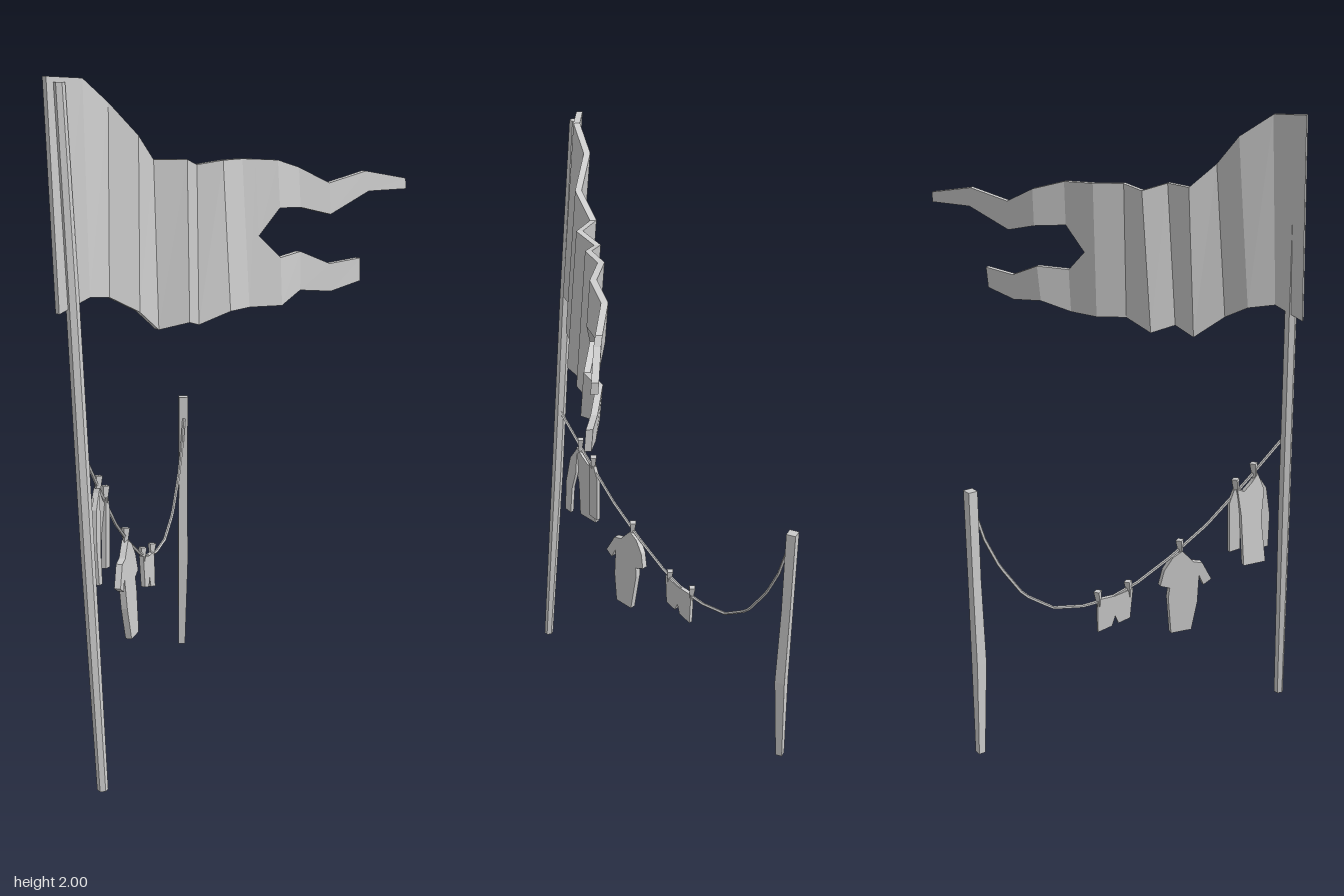
import * as THREE from 'three';

const material = new THREE.MeshStandardMaterial({ color: 0xcccccc, flatShading: true, side: THREE.DoubleSide });

function add(parent, name, geometry) {
  const mesh = new THREE.Mesh(geometry, material);
  mesh.name = name;
  parent.add(mesh);
  return mesh;
}

// Rough pole through a list of [x, y, z, radius] sections
function pole(sections, sides, turn) {
  const n = sections.length - 1;
  const g = new THREE.CylinderGeometry(1, 1, 1, sides, n);
  g.rotateY(turn);
  const p = g.attributes.position;
  for (let i = 0; i < p.count; i++) {
    const [x, y, z, r] = sections[Math.round((p.getY(i) + 0.5) * n)];
    p.setXYZ(i, x + p.getX(i) * r, y, z + p.getZ(i) * r);
  }
  return g;
}

// Thick strip of cloth; each column is [topX, topY, bottomX, bottomY, z].
// The cloth leans forward the further it hangs below refY (or its own top).
function cloth(columns, refY) {
  const half = 0.01, lean = 0.09, pos = [];
  const quad = (a, b, c, d) => pos.push(...a, ...b, ...c, ...a, ...c, ...d);
  const rings = columns.map(([tx, ty, bx, by, z]) => {
    const ref = refY ?? ty;
    const zt = z + lean * (ref - ty), zb = z + lean * (ref - by);
    return [[tx, ty, zt + half], [tx, ty, zt - half], [bx, by, zb - half], [bx, by, zb + half]];
  });
  for (let i = 0; i < rings.length - 1; i++) {
    for (let k = 0; k < 4; k++) {
      const m = (k + 1) % 4;
      quad(rings[i][k], rings[i + 1][k], rings[i + 1][m], rings[i][m]);
    }
  }
  quad(...rings[0]);
  quad(...rings[rings.length - 1].slice().reverse());
  const g = new THREE.BufferGeometry();
  g.setAttribute('position', new THREE.Float32BufferAttribute(pos, 3));
  g.computeVertexNormals();
  return g;
}

// The washing line runs diagonally: z = LINE_Z - SLOPE * x
const SLOPE = 0.8, LINE_Z = -0.17;
const STRETCH = Math.hypot(1, SLOPE);

// Flat garment piece in the plane of the line; tilt swings its hem out of the plane
function garment(points, tilt = 0, depth = 0.014) {
  const shape = new THREE.Shape(points.map(([x, y]) => new THREE.Vector2(x * STRETCH, y)));
  const g = new THREE.ExtrudeGeometry(shape, { depth, bevelEnabled: false });
  g.translate(0, 0, -depth / 2);
  const top = Math.max(...points.map(q => q[1]));
  const p = g.attributes.position;
  for (let i = 0; i < p.count; i++) p.setZ(i, p.getZ(i) + tilt * (top - p.getY(i)));
  g.computeVertexNormals();
  return g;
}

export function createModel() {
  const model = new THREE.Group();
  model.name = 'flagAndWashingLine';

  // Leaning flag pole
  add(model, 'flagPole', pole([
    [-0.588, 0, 0.37, 0.016], [-0.588, 0.7, 0.31, 0.02],
    [-0.588, 1.4, 0.255, 0.019], [-0.588, 1.985, 0.205, 0.017],
  ], 6, 0));

  // Torn, rippled flag
  const flag = new THREE.Group();
  flag.name = 'flag';
  model.add(flag);
  add(flag, 'flagBody', cloth([
    [-0.622, 2.0, -0.63, 1.37, 0.187],
    [-0.52, 1.995, -0.54, 1.41, 0.205],
    [-0.425, 1.93, -0.46, 1.4, 0.184],
    [-0.35, 1.84, -0.38, 1.355, 0.22],
    [-0.275, 1.77, -0.29, 1.29, 0.184],
    [-0.193, 1.77, -0.215, 1.31, 0.233],
    [-0.125, 1.75, -0.148, 1.29, 0.187],
    [-0.055, 1.762, -0.055, 1.325, 0.22],
    [0.037, 1.762, 0.037, 1.325, 0.193],
    [0.077, 1.76, 0.077, 1.325, 0.205],
  ]));
  add(flag, 'upperTail', cloth([
    [0.077, 1.76, 0.077, 1.535, 0.205],
    [0.145, 1.756, 0.145, 1.615, 0.226],
    [0.245, 1.73, 0.245, 1.61, 0.203],
    [0.345, 1.68, 0.345, 1.585, 0.226],
    [0.48, 1.712, 0.488, 1.65, 0.246],
    [0.63, 1.685, 0.63, 1.652, 0.265],
  ], 1.76));
  add(flag, 'lowerTail', cloth([
    [0.077, 1.535, 0.077, 1.325, 0.205],
    [0.14, 1.468, 0.137, 1.325, 0.225],
    [0.24, 1.477, 0.232, 1.36, 0.2],
    [0.337, 1.435, 0.337, 1.35, 0.222],
    [0.442, 1.447, 0.438, 1.377, 0.246],
  ], 1.76));

  // Short post at the far end of the line
  add(model, 'linePost', pole([
    [0.22, 0.01, -0.36, 0.016], [0.22, 0.33, -0.352, 0.024],
    [0.225, 0.62, -0.358, 0.021], [0.229, 0.915, -0.361, 0.022],
  ], 4, 0.2));

  // Everything on the line is laid out flat, then turned to the diagonal
  const line = new THREE.Group();
  line.name = 'washingLine';
  line.position.z = LINE_Z;
  line.rotation.y = Math.atan(SLOPE);
  model.add(line);

  // Sagging rope
  const ropePoints = [
    [-0.585, 0.975], [-0.48, 0.83], [-0.375, 0.695], [-0.28, 0.6], [-0.19, 0.525], [-0.12, 0.485],
    [-0.05, 0.47], [0.03, 0.48], [0.105, 0.54], [0.165, 0.65], [0.2, 0.745], [0.222, 0.84],
  ].map(([x, y]) => new THREE.Vector3(x * STRETCH, y, 0));
  const rope = new THREE.CurvePath();
  for (let i = 0; i < ropePoints.length - 1; i++) rope.add(new THREE.LineCurve3(ropePoints[i], ropePoints[i + 1]));
  add(line, 'rope', new THREE.TubeGeometry(rope, 44, 0.0055, 5));

  // Long-sleeved top
  const top = new THREE.Group();
  top.name = 'longSleevedTop';
  line.add(top);
  add(top, 'topBody', garment([
    [-0.525, 0.8], [-0.508, 0.855], [-0.49, 0.825], [-0.47, 0.8], [-0.452, 0.81],
    [-0.462, 0.72], [-0.468, 0.55], [-0.528, 0.555], [-0.517, 0.7],
  ], -0.1, 0.018));
  add(top, 'leftHandSleeve', garment([
    [-0.508, 0.85], [-0.535, 0.8], [-0.55, 0.7], [-0.552, 0.585], [-0.53, 0.58], [-0.526, 0.68], [-0.512, 0.75],
  ], 0.06));
  add(top, 'rightHandSleeve', garment([
    [-0.462, 0.81], [-0.445, 0.805], [-0.433, 0.76], [-0.438, 0.59], [-0.468, 0.597], [-0.465, 0.7],
  ]));

  // Short-sleeved shirt
  add(line, 'shirt', garment([
    [-0.365, 0.565], [-0.34, 0.573], [-0.325, 0.595], [-0.308, 0.618], [-0.283, 0.598],
    [-0.262, 0.555], [-0.253, 0.5], [-0.28, 0.487], [-0.282, 0.53], [-0.277, 0.45],
    [-0.29, 0.315], [-0.346, 0.318], [-0.358, 0.42], [-0.358, 0.52], [-0.372, 0.482], [-0.393, 0.5],
  ], 0.08, 0.02));

  // Shorts
  add(line, 'shorts', garment([
    [-0.178, 0.51], [-0.13, 0.492], [-0.085, 0.487], [-0.087, 0.37], [-0.124, 0.385],
    [-0.132, 0.42], [-0.141, 0.392], [-0.172, 0.405],
  ], 0.03));

  // Clothes pegs, wider at the top
  for (const [x, y] of [[-0.5, 0.862], [-0.452, 0.815], [-0.305, 0.628], [-0.168, 0.508], [-0.088, 0.488]]) {
    const peg = add(line, 'peg', new THREE.CylinderGeometry(0.014, 0.007, 0.055, 4));
    peg.position.set(x * STRETCH, y, 0);
    peg.rotation.z = -0.1;
  }

  return model;
}
